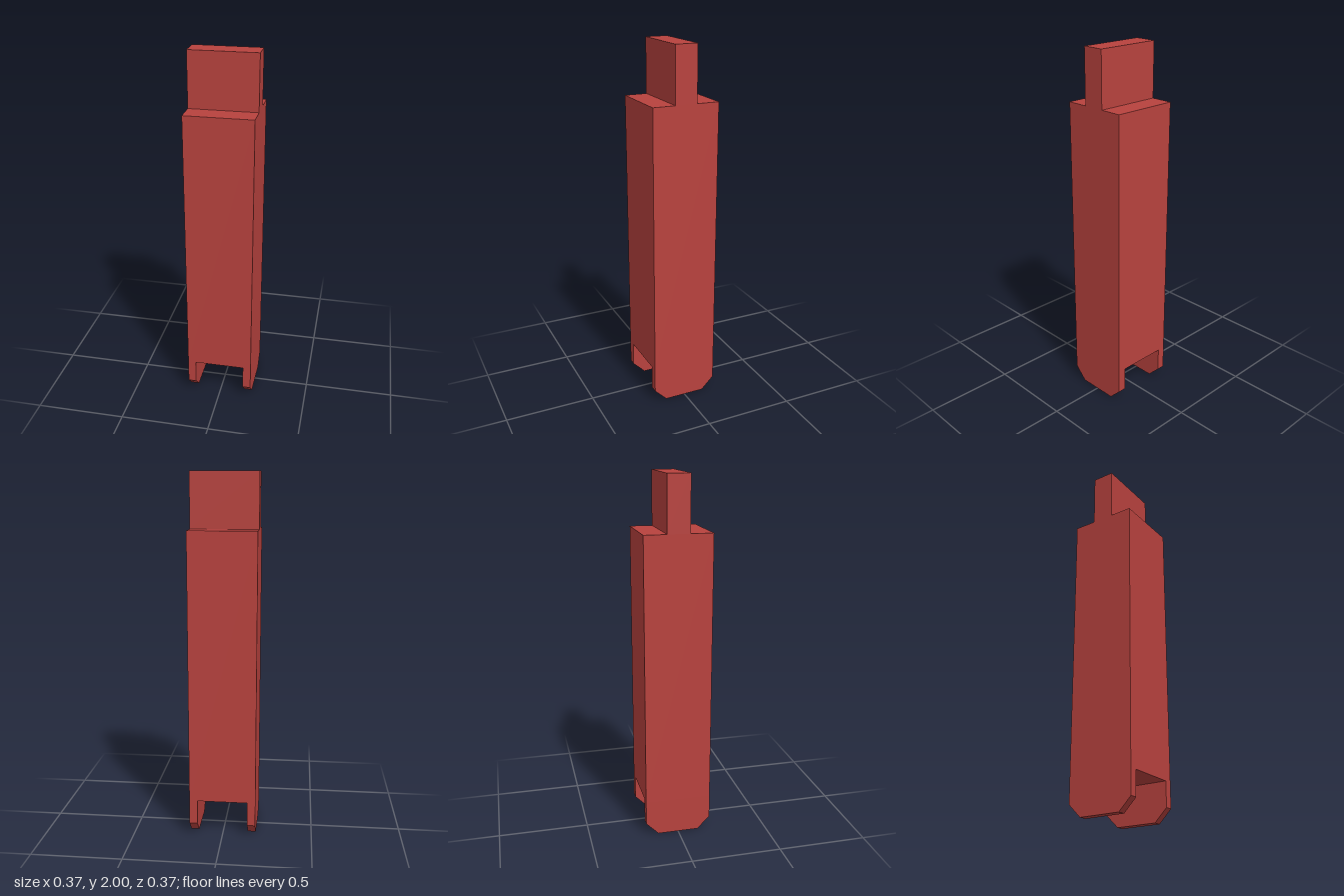
import * as THREE from 'three';

const HALF = 0.185;       // half width and depth of the post
const SHOULDER = 1.7;     // top of the main body
const NOTCH = 0.205;      // height of the gap between the feet
const FOOT = 0.045;       // thickness of each foot
const TONGUE = 0.0615;    // half depth of the top tongue

export function createModel() {
  const group = new THREE.Group();
  const material = new THREE.MeshStandardMaterial({ color: 0xb8423e, flatShading: true });

  const add = (name, geometry, x, y) => {
    const mesh = new THREE.Mesh(geometry, material);
    mesh.name = name;
    mesh.position.set(x, y, 0);
    group.add(mesh);
  };
  const block = (name, depth, y0, y1) =>
    add(name, new THREE.BoxGeometry(2 * HALF, y1 - y0, depth), 0, (y0 + y1) / 2);

  // Main post and the narrow tongue on top
  block('body', 2 * HALF, NOTCH, SHOULDER);
  block('tongue', 2 * TONGUE, SHOULDER, 2);

  // Two side feet with chamfered lower corners, profile drawn in depth and height
  const profile = new THREE.Shape([
    [-0.115, 0], [0.115, 0], [HALF, 0.07], [HALF, NOTCH], [-HALF, NOTCH], [-HALF, 0.07],
  ].map(([z, y]) => new THREE.Vector2(z, y)));
  const foot = new THREE.ExtrudeGeometry(profile, { depth: FOOT, bevelEnabled: false });
  foot.translate(0, 0, -FOOT / 2).rotateY(-Math.PI / 2);
  add('leftFoot', foot, HALF - FOOT / 2, 0);
  add('rightFoot', foot, -HALF + FOOT / 2, 0);

  return group;
}
